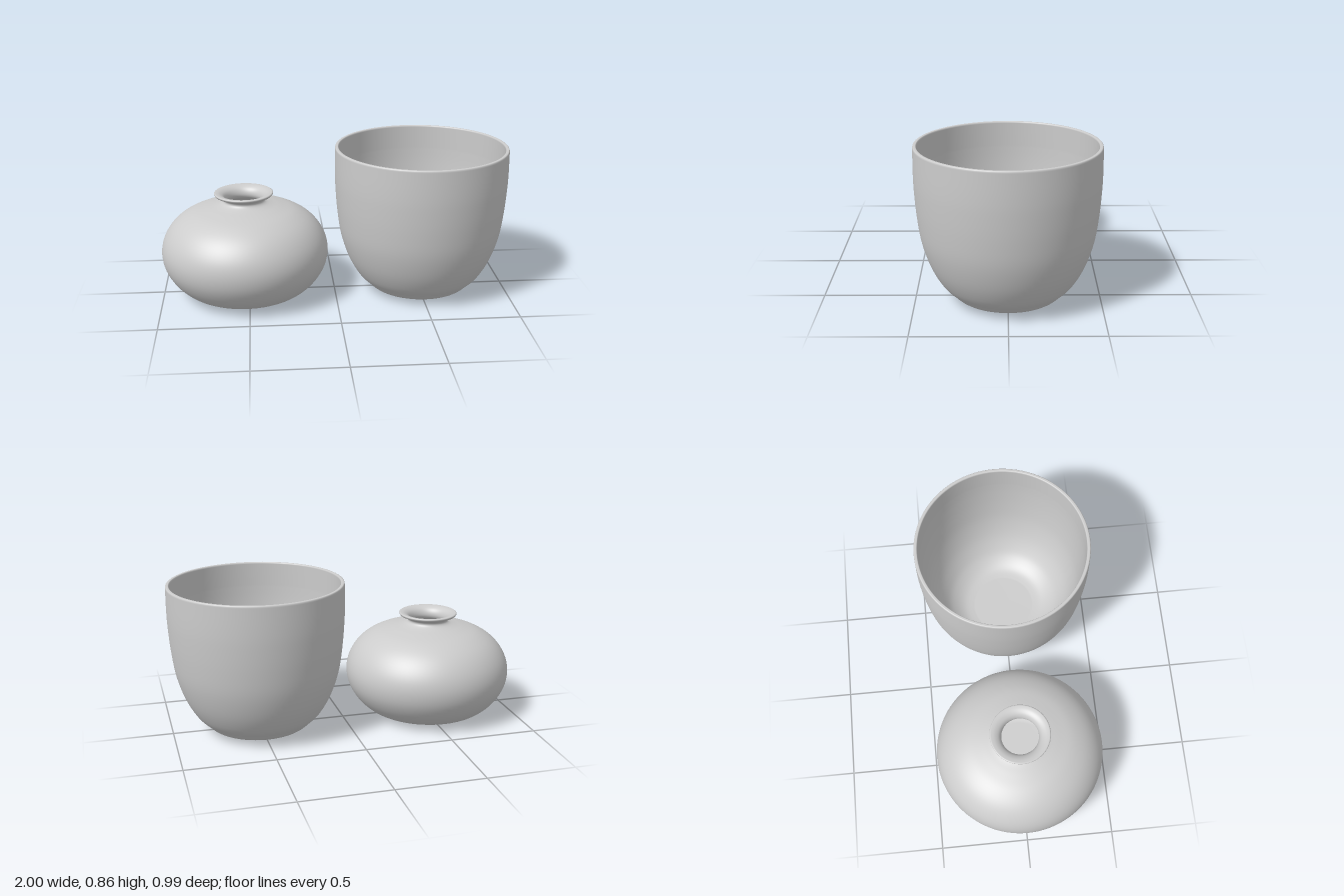
import * as THREE from 'three';

const material = new THREE.MeshStandardMaterial({ color: 0xcccccc, side: THREE.DoubleSide });

// Smooth run of [radius, height] pairs
function curve(pairs, divisions) {
  return new THREE.SplineCurve(pairs.map(([r, y]) => new THREE.Vector2(r, y))).getPoints(divisions);
}

// Turned vessel: runs follow the section from the base centre, over the rim, to the inner floor
function vessel(name, x, runs) {
  const points = [];
  for (const p of runs.flat()) {
    p.x = Math.max(p.x, 0);
    if (!points.length || points[points.length - 1].distanceTo(p) > 1e-4) points.push(p);
  }
  const mesh = new THREE.Mesh(new THREE.LatheGeometry(points, 96), material);
  mesh.name = name;
  mesh.position.x = x;
  return mesh;
}

const line = (pairs) => pairs.map(([r, y]) => new THREE.Vector2(r, y));

export function createModel() {
  const group = new THREE.Group();
  group.name = 'vesselPair';

  // Tall open cup with a rounded foot and thin wall
  group.add(vessel('cup', 0.502, [
    line([[0, 0], [0.19, 0.002]]),
    curve([[0.2, 0.003], [0.27, 0.02], [0.315, 0.057], [0.365, 0.11], [0.42, 0.21], [0.462, 0.34],
      [0.483, 0.48], [0.494, 0.62], [0.497, 0.72], [0.496, 0.845]], 40),
    curve([[0.496, 0.848], [0.494, 0.855], [0.489, 0.857]], 4),
    curve([[0.481, 0.857], [0.477, 0.855], [0.475, 0.848]], 4),
    curve([[0.476, 0.72], [0.473, 0.62], [0.462, 0.48], [0.441, 0.34], [0.4, 0.21], [0.345, 0.115],
      [0.295, 0.065], [0.24, 0.035], [0.18, 0.025]], 36),
    line([[0, 0.024]]),
  ]));

  // Squat round vase with a narrow neck and flared lip
  group.add(vessel('vase', -0.52, [
    line([[0, 0.002], [0.2, 0.003]]),
    curve([[0.24, 0.005], [0.31, 0.017], [0.37, 0.052], [0.425, 0.108], [0.466, 0.182], [0.48, 0.26],
      [0.467, 0.335], [0.43, 0.403], [0.375, 0.458], [0.3, 0.5], [0.22, 0.523], [0.165, 0.535],
      [0.13, 0.546], [0.116, 0.56], [0.122, 0.575], [0.145, 0.586], [0.163, 0.593]], 64),
    curve([[0.163, 0.593], [0.168, 0.6], [0.168, 0.606], [0.163, 0.609]], 6),
    curve([[0.163, 0.609], [0.14, 0.605], [0.118, 0.592], [0.106, 0.572], [0.105, 0.55], [0.12, 0.53],
      [0.16, 0.515], [0.22, 0.502], [0.295, 0.48], [0.362, 0.442], [0.414, 0.39], [0.447, 0.33],
      [0.46, 0.26], [0.446, 0.19], [0.408, 0.122], [0.358, 0.07], [0.3, 0.037], [0.23, 0.025]], 64),
    line([[0, 0.023]]),
  ]));

  return group;
}
